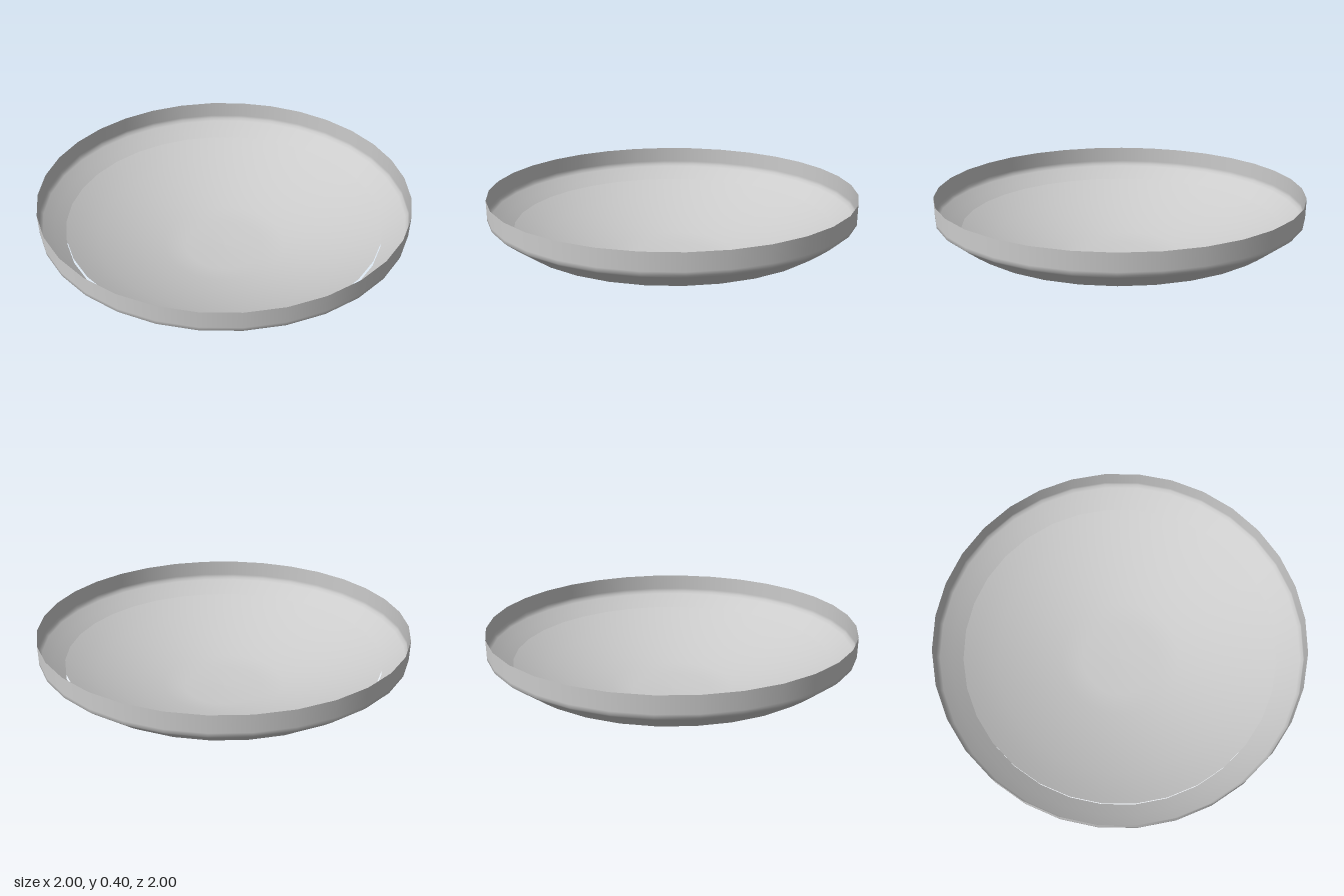
import * as THREE from 'three';

const SIDES = 32;

// Thin turned shell from [radius, height] pairs
function shell(name, points) {
  const profile = points.map(([r, y]) => new THREE.Vector2(r, y));
  const material = new THREE.MeshStandardMaterial({ color: 0xcccccc, side: THREE.DoubleSide });
  const mesh = new THREE.Mesh(new THREE.LatheGeometry(profile, SIDES), material);
  mesh.name = name;
  return mesh;
}

export function createModel() {
  const group = new THREE.Group();
  group.name = 'shallowDish';

  // Shallow bowl with a nearly flat centre
  group.add(shell('bowl', [
    [0, 0], [0.22, 0.003], [0.34, 0.024], [0.46, 0.053], [0.58, 0.09],
    [0.7, 0.135], [0.8, 0.18], [0.87, 0.217],
  ]));

  // Flared collar around the bowl, turning up into an upright rim
  group.add(shell('rim', [
    [0.87, 0.19], [0.93, 0.234], [0.985, 0.278], [1, 0.292], [1, 0.31], [1, 0.4],
  ]));

  return group;
}
